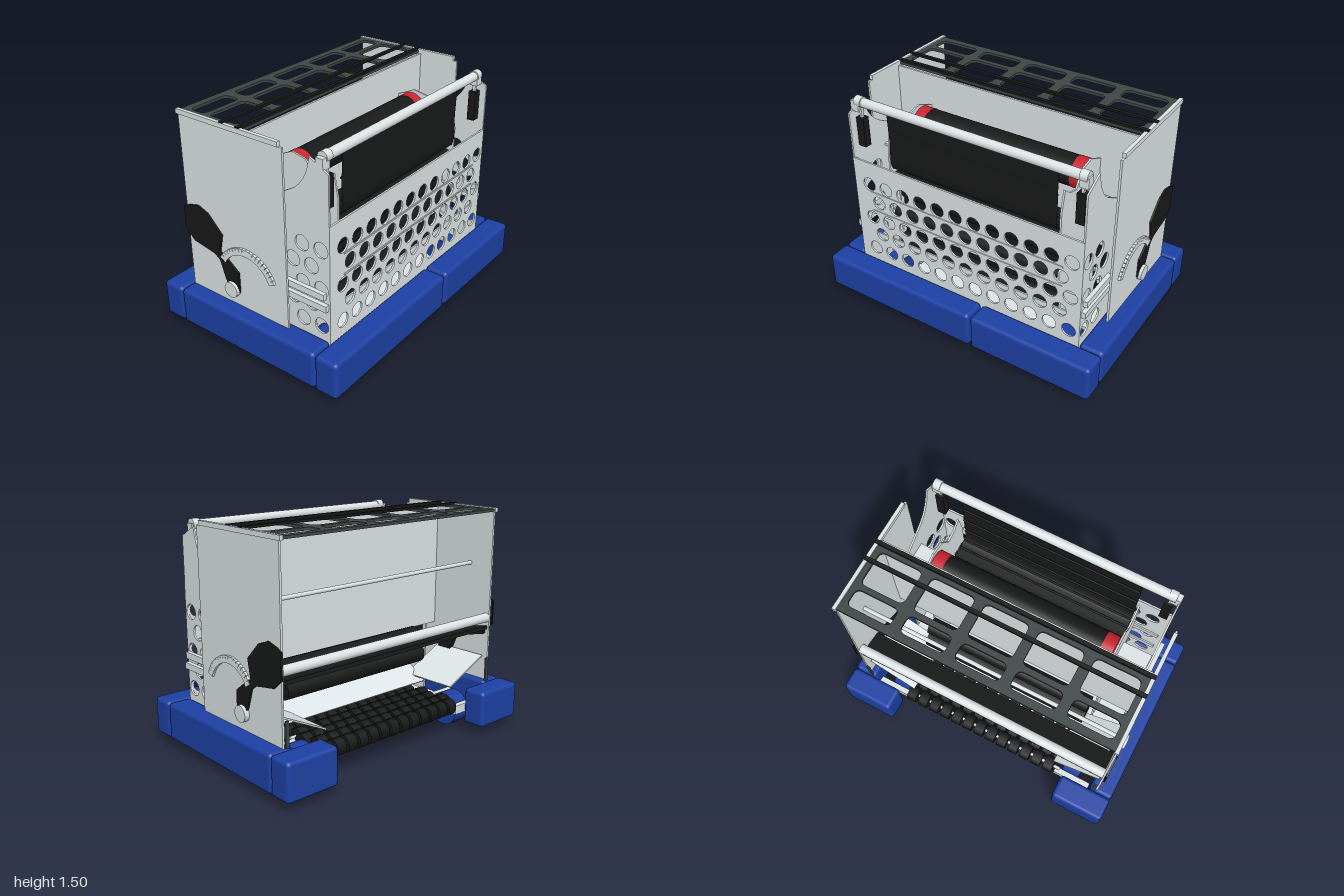
import * as THREE from 'three';
import { RoundedBoxGeometry } from 'three/addons/geometries/RoundedBoxGeometry.js';

const mat = (name, color) => Object.assign(new THREE.MeshStandardMaterial({ color }), { name });

export function createModel() {
  const model = new THREE.Group();
  const metal = mat('light metal', 0xdde3e5), blue = mat('bumper blue', 0x1d41a4);
  const black = mat('black', 0x181919), red = mat('red', 0xcb2433);
  const dark = mat('dark frame', 0x3f4746), pale = mat('pale sheet', 0xe2e9ec);
  black.side = THREE.DoubleSide;

  const add = (name, geo, material, x = 0, y = 0, z = 0) => {
    const m = new THREE.Mesh(geo, material);
    m.name = name;
    m.position.set(x, y, z);
    model.add(m);
    return m;
  };
  const box = (name, m, x0, x1, y0, y1, z0, z1) =>
    add(name, new THREE.BoxGeometry(x1 - x0, y1 - y0, z1 - z0), m, (x0 + x1) / 2, (y0 + y1) / 2, (z0 + z1) / 2);
  // Cylinder lying along z
  const rod = (name, m, x, y, z, r, len, seg = 24) =>
    add(name, new THREE.CylinderGeometry(r, r, len, seg).rotateX(Math.PI / 2), m, x, y, z);
  const poly = pts => new THREE.Shape(pts.map(p => new THREE.Vector2(p[0], p[1])));
  const hole = (shape, x, y, r) => shape.holes.push(new THREE.Path().absarc(x, y, r, 0, Math.PI * 2, true));
  const sheet = (shape, depth) => new THREE.ExtrudeGeometry(shape, { depth, bevelEnabled: false, curveSegments: 10 })
    .translate(0, 0, -depth / 2);

  // Bumpers
  const bumper = (x0, x1, z0, z1) => add('bumper',
    new RoundedBoxGeometry(x1 - x0, 0.245, z1 - z0, 3, 0.025), blue, (x0 + x1) / 2, 0.178, (z0 + z1) / 2);
  bumper(0.54, 0.7, -0.145, 1);
  bumper(0.54, 0.7, -1, -0.158);
  for (const s of [1, -1]) {
    const [a, b] = s > 0 ? [0.84, 1] : [-1, -0.84];
    bumper(-0.54, 0.535, a, b);
    bumper(-0.7, -0.54, s > 0 ? 0.635 : -1, s > 0 ? 1 : -0.635);
  }

  // Belly pan with wheel cut-outs, shape is x by z
  const panShape = poly([[-0.15, -0.84], [0.53, -0.84], [0.53, 0.84], [-0.15, 0.84]]);
  for (const s of [1, -1]) hole(panShape, 0.375, s * 0.68, 0.135);
  add('belly pan', sheet(panShape, 0.02).rotateX(Math.PI / 2), metal, 0, 0.1, 0);

  // Wheels and their pods
  for (const s of [1, -1]) for (const x of [-0.375, 0.375]) {
    rod('wheel', blue, x, 0.112, s * 0.678, 0.112, 0.125, 32);
    for (const d of [-0.13, 0.13])
      box('wheel pod beam', metal, x + d - 0.02, x + d + 0.02, 0.12, 0.18, s * 0.7 - 0.13, s * 0.7 + 0.13);
  }

  for (const s of [1, -1]) {
    // Tall side plates and top rails
    add('side plate', sheet(poly([[-0.525, 0.2], [0.265, 0.2], [0.265, 1.46], [-0.525, 1.46]]), 0.014), metal, 0, 0, s * 0.89);
    box('top rail', metal, -0.54, 0.238, 1.46, 1.49, s * 0.89 - 0.012, s * 0.89 + 0.012);
    box('corner bracket', dark, -0.538, -0.526, 0.3, 0.46, s * 0.87 - 0.012, s * 0.87 + 0.012);

    // Tower plates with a scooped top and staggered holes
    const tower = new THREE.Shape();
    tower.moveTo(0, 0.1);
    tower.lineTo(0.53, 0.1);
    tower.lineTo(0.53, 1.36);
    tower.lineTo(0.4, 1.43);
    tower.quadraticCurveTo(0.38, 1.27, 0.265, 1.2);
    tower.lineTo(0, 1.05);
    tower.closePath();
    for (const y of [0.38, 0.63, 0.885]) for (const x of [0.335, 0.47]) hole(tower, x, y, 0.05);
    for (const y of [0.51, 0.76]) for (const x of [0.265, 0.4]) hole(tower, x, y, 0.05);
    add('tower plate', sheet(tower, 0.012), metal, 0, 0, s * 0.832);
    for (const [y, x1] of [[0.6, 0.508], [0.527, 0.524]])
      box('side bar', metal, 0.2, x1, y - 0.021, y + 0.021, s * 0.852 - 0.014, s * 0.852 + 0.014);

    // Inner feeder plate with ears around the outer rollers
    add('feeder plate', sheet(poly([[-0.03, 0.12], [0.4, 0.12], [0.4, 0.44], [0.355, 0.46], [0.355, 0.56],
      [0.43, 0.58], [0.43, 0.68], [0.355, 0.7], [0.355, 0.82], [0.43, 0.84], [0.43, 1.1], [0.4, 1.25],
      [0.34, 1.2], [0.265, 1.18], [0.2, 1.28], [0.1, 1.3], [-0.03, 1.24]]), 0.012), metal, 0, 0, s * 0.625);
    box('feeder shelf', metal, 0, 0.24, 1.0, 1.015, s * 0.725 - 0.1, s * 0.725 + 0.1);
    box('feeder guard', black, 0.02, 0.035, 0.48, 0.65, s * 0.725 - 0.092, s * 0.725 + 0.092);

    // Intake arm with its inner half, pivot and toothed arc
    add('intake arm', sheet(poly([[-0.54, 0.86], [-0.5, 0.88], [-0.42, 0.9], [-0.34, 0.87], [-0.23, 0.76],
      [-0.255, 0.64], [-0.19, 0.6], [-0.11, 0.54], [-0.11, 0.4], [-0.2, 0.42], [-0.22, 0.46], [-0.26, 0.58],
      [-0.3, 0.61], [-0.38, 0.625], [-0.47, 0.64], [-0.54, 0.7]]), 0.012), black, 0, 0, s * 0.904);
    add('inner intake arm', sheet(poly([[-0.5, 0.66], [-0.28, 0.63], [-0.11, 0.54], [-0.11, 0.4], [-0.2, 0.42],
      [-0.26, 0.57], [-0.5, 0.63]]), 0.03), black, 0, 0, s * 0.864);
    rod('arm pivot', metal, -0.165, 0.41, s * 0.912, 0.052, 0.036);
    for (let i = 0; i < 19; i++) {
      const a = 0.42 + i * (2.15 / 18);
      const t = box('arc tooth', metal, -0.0225, 0.0225, -0.0125, 0.0125, -0.008, 0.008);
      t.position.set(-0.042 + 0.215 * Math.cos(a), 0.49 + 0.215 * Math.sin(a), s * 0.905);
      t.rotation.z = a;
    }

    // Pale guide sheets beside the floor rollers
    const guide = box('guide sheet', pale, -0.2, 0.2, -0.005, 0.005, -0.18, 0.18);
    guide.position.set(-0.29, 0.39, s * 0.71);
    guide.rotation.x = -s * 0.45;

    // Hanging weights below the cross tube
    box('weight', black, 0.445, 0.495, 1.13, 1.33, s * 0.778 - 0.028, s * 0.778 + 0.028);
    rod('tube cap', metal, 0.468, 1.435, s * 0.785, 0.034, 0.05);
    box('tube mount', metal, 0.445, 0.495, 1.37, 1.44, s * 0.8 - 0.02, s * 0.8 + 0.04);
    box('weight hanger', metal, 0.46, 0.48, 1.33, 1.42, s * 0.778 - 0.008, s * 0.778 + 0.008);
  }
  rod('cross tube', metal, 0.466, 1.43, 0, 0.031, 1.6);

  // Perforated end panel, shape is z by y
  const panel = poly([[-0.838, 0.1], [0.838, 0.1], [0.838, 1.05], [-0.838, 1.05]]);
  [0.885, 0.76, 0.63, 0.51, 0.38].forEach((y, row) => {
    for (let i = 0; i < 12 - row % 2; i++) hole(panel, 0.72 - (i + (row % 2) / 2) * 0.135, y, 0.048);
  });
  add('perforated panel', sheet(panel, 0.012).rotateY(-Math.PI / 2), metal, 0.527, 0, 0);
  for (const y of [0.83, 0.69])
    box('panel rib', metal, 0.53, 0.538, y - 0.005, y + 0.005, -0.71, 0.71);
  for (const y of [0.668, 0.482])
    box('inner strip', metal, 0.508, 0.518, y - 0.02, y + 0.02, -0.8, 0.8);

  // Feeder rollers behind the panel
  box('feeder belt', black, 0.3, 0.33, 0.3, 0.95, -0.615, 0.615);
  for (const [x, y] of [[0.34, 0.38], [0.295, 0.51], [0.38, 0.63], [0.295, 0.76], [0.38, 0.885]])
    rod('feeder roller', black, x, y, 0, 0.058, 1.235, 16);

  // Hopper back wall and open-side tubes
  box('hopper wall', metal, -0.036, -0.022, 0.62, 1.46, -0.884, 0.884);
  rod('hopper tube', metal, -0.345, 1.1, 0, 0.014, 1.77, 12);
  rod('intake tube', metal, -0.5, 0.74, 0, 0.032, 1.77);
  const flap = box('intake flap', black, -0.092, 0.092, -0.012, 0.012, -0.88, 0.88);
  flap.position.set(-0.425, 0.655, 0);
  flap.rotation.z = -0.2;

  // Kicker rollers and the pale ramp below them
  rod('kicker roller', black, -0.14, 0.47, 0, 0.065, 1.2, 12);
  rod('kicker roller', black, -0.1, 0.59, 0, 0.06, 1.2, 12);
  const ramp = box('ramp', pale, -0.1, 0.1, -0.005, 0.005, -0.6, 0.6);
  ramp.position.set(-0.12, 0.33, 0);
  ramp.rotation.z = 0.6;

  // Floor rollers made of spaced wheels
  for (let k = 0; k < 5; k++) {
    const x = -0.49 + k * 0.093;
    rod('roller shaft', metal, x, 0.18, 0, 0.012, 1.2, 8);
    for (let i = 0; i < 13; i++)
      rod('roller wheel', black, x, 0.18, -0.54 + i * 0.09 + (k % 2 ? 0.02 : -0.02), 0.055, 0.068, 10);
  }

  // Shooter roller with red ends
  rod('shooter roller', black, 0.09, 1.18, 0, 0.098, 1.08, 32);
  for (const s of [1, -1]) rod('roller end ring', red, 0.09, 1.18, s * 0.575, 0.1, 0.078, 32);

  // Curved hood swept across z, with slim ribs on its inner side
  const curve = new THREE.CatmullRomCurve3([[0.19, 0.96], [0.34, 0.965], [0.425, 0.99], [0.434, 1.2], [0.44, 1.41]]
    .map(p => new THREE.Vector3(p[0], p[1], 0)));
  const hood = new THREE.PlaneGeometry(1, 1.21, 16, 1), pos = hood.attributes.position;
  for (let i = 0; i < pos.count; i++) {
    const p = curve.getPoint(THREE.MathUtils.clamp(pos.getX(i) + 0.5, 0, 1));
    pos.setXYZ(i, p.x, p.y, pos.getY(i));
  }
  hood.computeVertexNormals();
  add('hood', hood, black);
  for (let i = 1; i <= 6; i++) {
    const p = curve.getPoint(i / 6.5);
    rod('hood rib', black, p.x - 0.008, p.y + 0.004, 0, 0.007, 1.2, 8);
  }

  // Top frame with two rows of five rounded openings, shape is x by z
  const frame = poly([[-0.53, -0.89], [-0.04, -0.89], [-0.04, 0.89], [-0.53, 0.89]]);
  for (let i = -2; i <= 2; i++) for (const [x0, x1] of [[-0.48, -0.365], [-0.328, -0.098]]) {
    const z0 = i * 0.35 - 0.143, z1 = i * 0.35 + 0.143, r = 0.04, h = new THREE.Path();
    h.moveTo(x0 + r, z0);
    h.lineTo(x1 - r, z0);
    h.quadraticCurveTo(x1, z0, x1, z0 + r);
    h.lineTo(x1, z1 - r);
    h.quadraticCurveTo(x1, z1, x1 - r, z1);
    h.lineTo(x0 + r, z1);
    h.quadraticCurveTo(x0, z1, x0, z1 - r);
    h.lineTo(x0, z0 + r);
    h.quadraticCurveTo(x0, z0, x0 + r, z0);
    frame.holes.push(h);
  }
  add('top frame', sheet(frame, 0.018).rotateX(Math.PI / 2), dark, 0, 1.473, 0);
  for (const x of [-0.178, -0.056]) box('top bar', black, x - 0.013, x + 0.013, 1.482, 1.497, -0.9, 0.9);

  return model;
}
